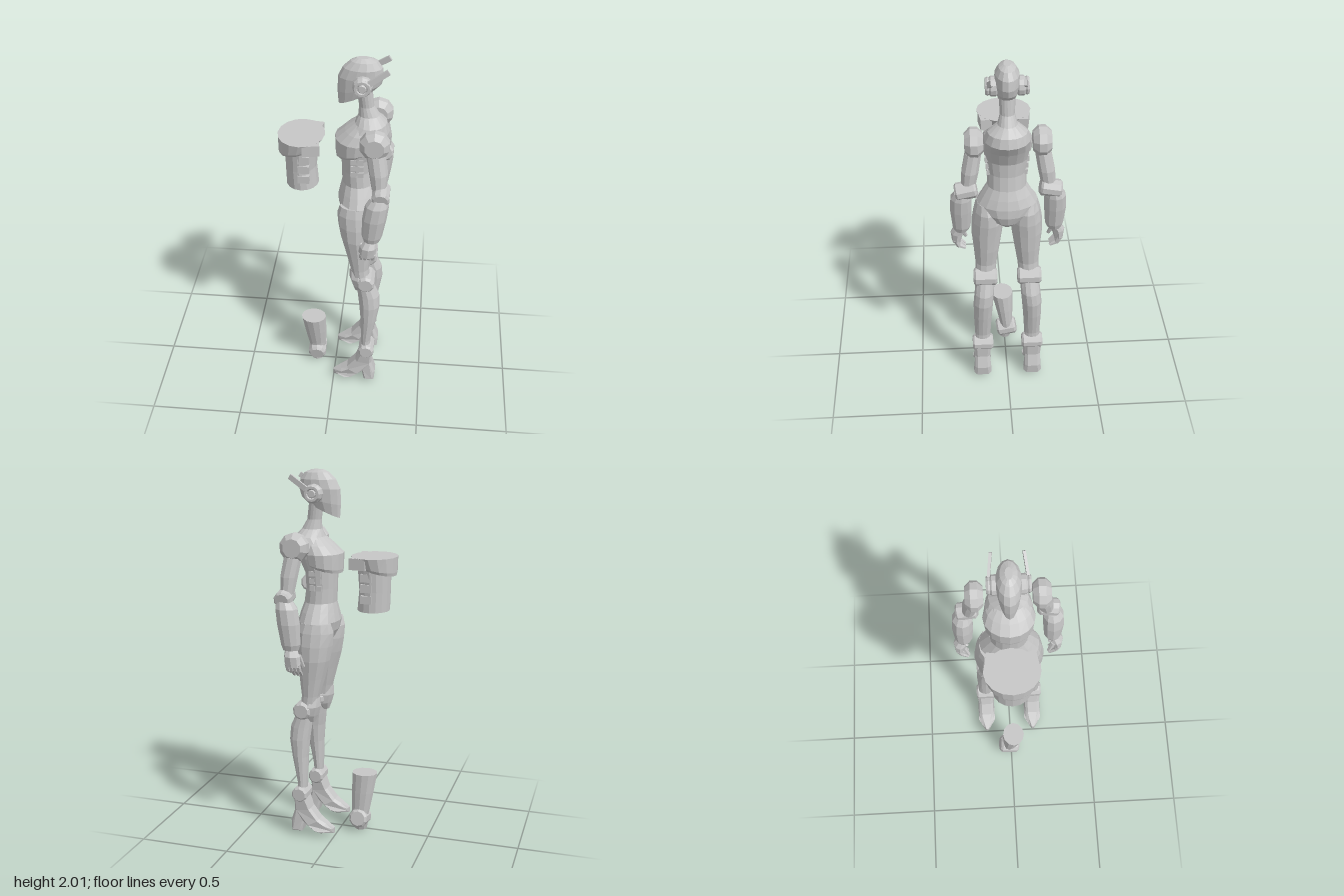
import * as THREE from 'three';

const grey = new THREE.MeshStandardMaterial({ color: 0xc6c6c6, flatShading: true });
grey.name = 'lightGrey';

function add(group, name, geo) {
  const m = new THREE.Mesh(geo, grey);
  m.name = name;
  group.add(m);
  return m;
}

// Closed loft through elliptical rings, bottom to top: [y, xFront, xBack, zMin, zMax, tilt]
function loft(rings, n = 12) {
  const pos = [], idx = [];
  for (const [y, f, b, z0, z1, tilt = 0] of rings) {
    const cx = (f + b) / 2, cz = (z0 + z1) / 2;
    for (let j = 0; j < n; j++) {
      const a = (j / n) * Math.PI * 2;
      const dx = Math.cos(a) * (b - f) / 2;
      pos.push(cx + dx, y + tilt * dx, cz + Math.sin(a) * (z1 - z0) / 2);
    }
  }
  const last = (rings.length - 1) * n;
  for (let i = 0; i < rings.length - 1; i++) {
    for (let j = 0; j < n; j++) {
      const a = i * n + j, c = i * n + (j + 1) % n;
      idx.push(a, a + n, c, c, a + n, c + n);
    }
  }
  for (let j = 1; j < n - 1; j++) {
    idx.push(0, j, j + 1, last, last + j + 1, last + j);
  }
  const g = new THREE.BufferGeometry();
  g.setAttribute('position', new THREE.Float32BufferAttribute(pos, 3));
  g.setIndex(idx);
  g.computeVertexNormals();
  return g;
}

// Ring lists symmetric about z = 0: [y, xFront, xBack, halfWidth, tilt]
const sym = (rings, dx = 0) => rings.map(([y, f, b, h, t]) => [y, f + dx, b + dx, -h, h, t]);
// Ring lists for one side of the body
const side = (rings, s) => rings.map(([y, f, b, i, o]) => (s > 0 ? [y, f, b, i, o] : [y, f, b, -o, -i]));

// Chamfered drum with its axis along z
function drum(r, len, ch, sides = 10) {
  const h = len / 2;
  const pts = [[0, -h], [r - ch, -h], [r, -h + ch], [r, h - ch], [r - ch, h], [0, h]];
  return new THREE.LatheGeometry(pts.map(p => new THREE.Vector2(...p)), sides).rotateX(Math.PI / 2);
}

// Tapered bar between two points
function bar(p, q, r0, r1, sides = 6) {
  const a = new THREE.Vector3(...p), b = new THREE.Vector3(...q), d = b.clone().sub(a);
  const g = new THREE.CylinderGeometry(r1, r0, d.length(), sides);
  g.applyQuaternion(new THREE.Quaternion().setFromUnitVectors(new THREE.Vector3(0, 1, 0), d.normalize()));
  return g.translate((p[0] + q[0]) / 2, (p[1] + q[1]) / 2, (p[2] + q[2]) / 2);
}

// Heeled foot: side profile extruded, then narrowed towards the toe and the middle
function footGeometry(s) {
  const profile = [[0.012, 0.025], [0.07, 0.025], [0.1, 0.03], [0.14, 0.06], [0.175, 0.085], [0.19, 0.025],
    [0.228, 0.025], [0.232, 0.07], [0.21, 0.14], [0.213, 0.22], [0.165, 0.22], [0.14, 0.15], [0.09, 0.085], [0.05, 0.06], [0.012, 0.038]];
  const shape = new THREE.Shape(profile.map(p => new THREE.Vector2(...p)));
  const g = new THREE.ExtrudeGeometry(shape, {
    depth: 0.066, bevelEnabled: true, bevelThickness: 0.018, bevelSize: 0.012, bevelSegments: 1,
  }).translate(0, 0, -0.033);
  const p = g.attributes.position;
  for (let i = 0; i < p.count; i++) {
    const x = p.getX(i), y = p.getY(i);
    const waist = y > 0.07 && y < 0.18 ? 0.85 : 1;
    p.setZ(i, p.getZ(i) * waist * Math.min(1, 0.2 + x / 0.085));
  }
  return g.translate(0, 0, s * 0.145);
}

// Lower edge of the overhanging bust plate
const bustRings = [[1.485, 0.0, 0.2, 0.115, 0.25], [1.5, -0.003, 0.21, 0.127, 0.2]];

function buildHead(g) {
  add(g, 'helmet', loft(sym([
    [1.79, 0.012, 0.19, 0.042, 0.45], [1.84, 0.007, 0.225, 0.056, 0.2], [1.9, 0.009, 0.237, 0.063],
    [1.95, 0.033, 0.23, 0.06], [1.985, 0.07, 0.205, 0.042], [2.0, 0.1, 0.165, 0.018],
  ]), 14));
  for (const s of [1, -1]) {
    add(g, 'earBase', drum(0.05, 0.04, 0.008, 12)).position.set(0.135, 1.88, s * 0.068);
    add(g, 'earRing', new THREE.TorusGeometry(0.034, 0.012, 6, 12)).position.set(0.135, 1.88, s * 0.096);
    add(g, 'earCap', drum(0.022, 0.03, 0.004)).position.set(0.135, 1.88, s * 0.092);
    const ant = add(g, 'antenna', new THREE.BoxGeometry(0.13, 0.028, 0.014));
    ant.position.set(0.208, 1.93, s * 0.086);
    ant.rotation.set(0, s * 0.15, 0.58);
  }
}

function buildTorso(g) {
  add(g, 'torso', loft(sym([
    [1.055, 0.1, 0.18, 0.035], [1.1, 0.05, 0.225, 0.09], [1.15, 0.022, 0.24, 0.138], [1.2, 0.012, 0.238, 0.16],
    [1.25, 0.022, 0.225, 0.132], [1.3, 0.033, 0.207, 0.102], [1.38, 0.03, 0.196, 0.1], [1.46, 0.028, 0.2, 0.11],
    [1.54, 0.02, 0.237, 0.122], [1.6, 0.04, 0.274, 0.12], [1.65, 0.095, 0.26, 0.1], [1.69, 0.112, 0.222, 0.05],
    [1.74, 0.115, 0.192, 0.037], [1.84, 0.1, 0.18, 0.042],
  ]), 16));
  add(g, 'bustPlate', loft(sym([
    ...bustRings, [1.565, -0.005, 0.225, 0.133], [1.61, 0.045, 0.22, 0.115], [1.65, 0.095, 0.2, 0.08],
  ]), 16));
  // Rib vents, two columns on each flank
  for (const s of [1, -1]) {
    for (let r = 0; r < 3; r++) {
      for (let c = 0; c < 2; c++) {
        add(g, 'ribVent', new THREE.BoxGeometry(0.03, 0.028, 0.026))
          .position.set(0.1 + c * 0.035, 1.385 + r * 0.04, s * (0.092 + r * 0.004));
      }
    }
  }
}

function buildArm(g, s) {
  add(g, 'shoulder', drum(0.078, 0.092, 0.028)).position.set(0.208, 1.61, s * 0.169);
  add(g, 'upperArm', loft(side([
    [1.37, 0.2, 0.275, 0.165, 0.24], [1.46, 0.183, 0.28, 0.146, 0.235], [1.56, 0.165, 0.265, 0.13, 0.215],
  ], s), 10));
  const elbow = add(g, 'elbow', drum(0.047, 0.11, 0.01));
  elbow.position.set(0.248, 1.353, s * 0.214);
  elbow.rotation.x = s * 0.2;
  add(g, 'forearm', loft(side([
    [1.08, 0.165, 0.25, 0.205, 0.28], [1.11, 0.155, 0.262, 0.192, 0.29], [1.22, 0.157, 0.282, 0.184, 0.3],
    [1.3, 0.17, 0.292, 0.184, 0.295], [1.335, 0.195, 0.288, 0.195, 0.275],
  ], s), 10));
  add(g, 'palm', loft(side([
    [0.995, 0.145, 0.232, 0.245, 0.295], [1.05, 0.15, 0.238, 0.23, 0.3], [1.1, 0.18, 0.238, 0.218, 0.265],
  ], s), 8));
  for (let i = 0; i < 4; i++) {
    const x = 0.16 + i * 0.02, drop = i === 3 ? 0.015 : 0;
    add(g, 'finger', bar([x, 1.01, s * 0.272], [x - 0.003, 0.97, s * 0.258], 0.014, 0.012));
    add(g, 'fingertip', bar([x - 0.003, 0.975, s * 0.26], [x - 0.005, 0.94 + drop, s * 0.225], 0.012, 0.008));
  }
  add(g, 'thumb', bar([0.165, 1.05, s * 0.245], [0.148, 0.985, s * 0.22], 0.015, 0.01));
}

function buildLeg(g, s) {
  add(g, 'thigh', loft(side([
    [0.72, 0.105, 0.2, 0.065, 0.172], [0.8, 0.09, 0.192, 0.056, 0.172], [0.9, 0.063, 0.205, 0.04, 0.18],
    [1.0, 0.036, 0.214, 0.025, 0.19], [1.08, 0.022, 0.222, 0.018, 0.187], [1.15, 0.016, 0.222, 0.03, 0.175],
    [1.2, 0.03, 0.2, 0.06, 0.16],
  ], s)));
  add(g, 'knee', drum(0.05, 0.13, 0.012)).position.set(0.178, 0.718, s * 0.12);
  add(g, 'kneePad', loft(side([
    [0.65, 0.115, 0.16, 0.095, 0.145], [0.69, 0.1, 0.19, 0.068, 0.172], [0.74, 0.085, 0.2, 0.06, 0.18],
    [0.79, 0.087, 0.17, 0.08, 0.155],
  ], s), 8));
  add(g, 'shin', loft(side([
    [0.22, 0.162, 0.212, 0.1, 0.185], [0.3, 0.158, 0.212, 0.097, 0.184], [0.45, 0.152, 0.242, 0.088, 0.189],
    [0.55, 0.143, 0.258, 0.08, 0.189], [0.62, 0.134, 0.254, 0.074, 0.182], [0.71, 0.125, 0.215, 0.07, 0.172],
  ], s)));
  add(g, 'ankle', drum(0.045, 0.117, 0.01)).position.set(0.19, 0.235, s * 0.141);
  add(g, 'foot', footGeometry(s));
}

// Spare torso section set apart in front of the body
function buildSpareTorso(g) {
  const dx = -0.297;
  add(g, 'spareWaist', loft(sym([
    [1.27, 0.035, 0.207, 0.1], [1.38, 0.032, 0.197, 0.101], [1.5, 0.03, 0.205, 0.112],
  ], dx), 16));
  add(g, 'spareChest', loft(sym([...bustRings, [1.56, -0.005, 0.241, 0.143]], dx), 16));
  for (const s of [1, -1]) {
    const top = add(g, 'spareChestVent', new THREE.BoxGeometry(0.09, 0.06, 0.06));
    top.position.set(-0.122, 1.529, s * 0.1);
    top.rotation.y = s * 0.15;
    for (const y of [1.34, 1.4, 1.455]) {
      add(g, 'spareRibVent', new THREE.BoxGeometry(0.06, 0.042, 0.028)).position.set(-0.16, y, s * 0.093);
    }
  }
}

// Spare shin stump with its ankle joint
function buildSpareShin(g) {
  add(g, 'spareShin', loft([
    [0.06, -0.15, -0.065, -0.052, 0.025], [0.12, -0.165, -0.06, -0.048, 0.03],
    [0.22, -0.183, -0.057, -0.05, 0.052], [0.33, -0.2, -0.058, -0.05, 0.076],
  ], 12));
  const joint = add(g, 'spareAnkle', drum(0.053, 0.115, 0.012));
  joint.position.set(-0.11, 0.066, -0.012);
  joint.rotation.x = 0.2;
  add(g, 'spareAnklePin', bar([-0.11, 0.0, 0.002], [-0.11, 0.06, -0.008], 0.035, 0.05, 8));
}

export function createModel() {
  const root = new THREE.Group();
  const part = (name, build, ...args) => {
    const g = new THREE.Group();
    g.name = name;
    build(g, ...args);
    root.add(g);
  };
  part('head', buildHead);
  part('body', buildTorso);
  for (const s of [1, -1]) {
    part('arm', buildArm, s);
    part('leg', buildLeg, s);
  }
  part('spareTorsoSection', buildSpareTorso);
  part('spareShinSection', buildSpareShin);
  return root;
}
